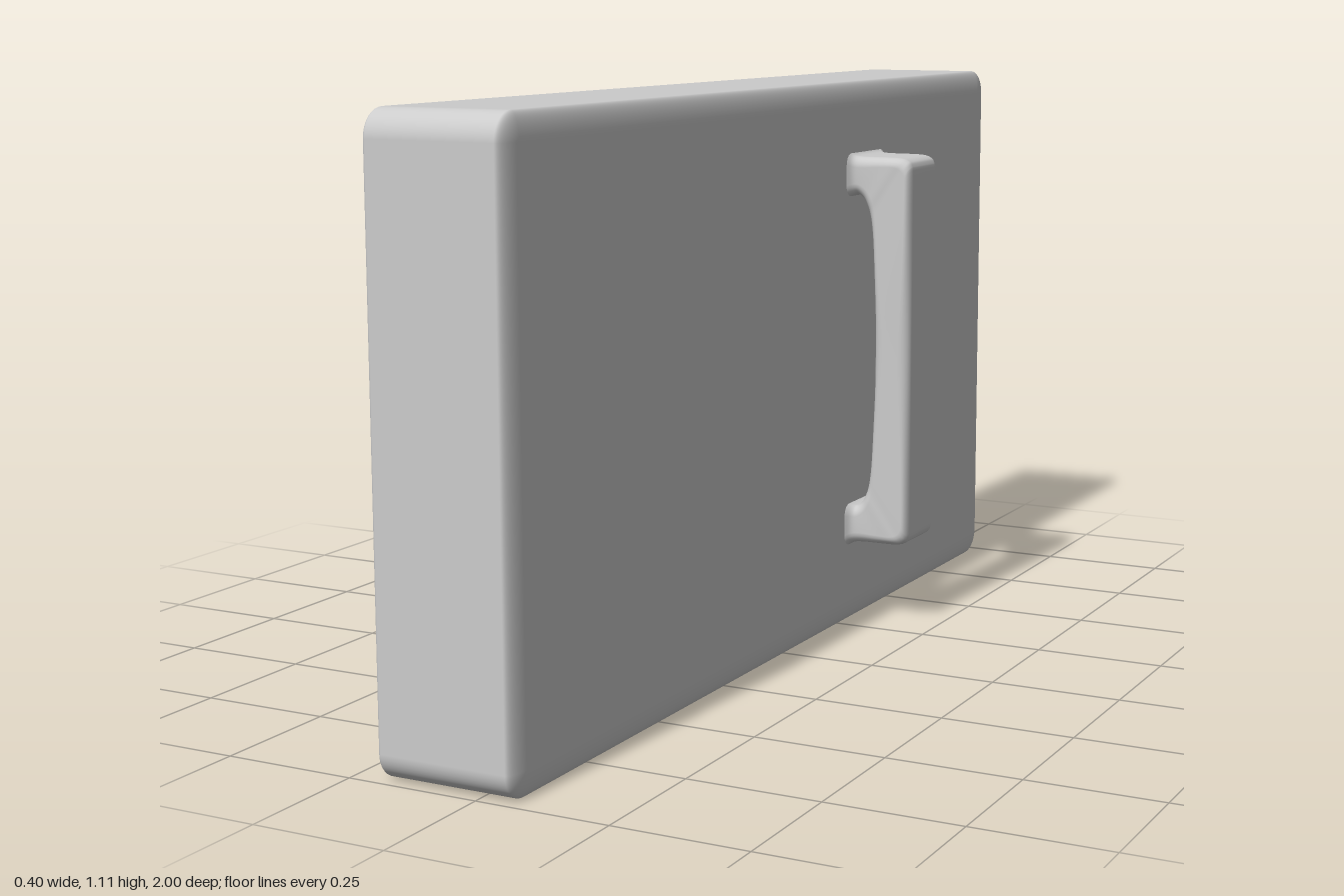
import * as THREE from 'three';
import { RoundedBoxGeometry } from 'three/addons/geometries/RoundedBoxGeometry.js';

const MID_Y = 0.565; // mirror plane of the handle
const HANDLE_Z = -0.348;

// Lower half of the handle, foot to middle:
// outer edge x, y, inner edge x, y, half width
const STATIONS = [
  [0.060, 0.150, 0.060, 0.258, 0.110],
  [0.070, 0.161, 0.070, 0.250, 0.096],
  [0.080, 0.167, 0.080, 0.246, 0.083],
  [0.100, 0.169, 0.088, 0.246, 0.078],
  [0.140, 0.169, 0.098, 0.256, 0.076],
  [0.175, 0.170, 0.106, 0.272, 0.076],
  [0.191, 0.175, 0.111, 0.290, 0.075],
  [0.198, 0.184, 0.115, 0.315, 0.075],
  [0.200, 0.205, 0.118, 0.350, 0.075],
  [0.200, 0.300, 0.121, 0.420, 0.075],
  [0.200, 0.420, 0.123, 0.490, 0.075],
  [0.200, MID_Y, 0.123, MID_Y, 0.075],
];

// Rounded rectangle centred on the origin, as a loop of [u, v]
function roundedLoop(halfU, halfV, r, steps = 5) {
  const loop = [];
  [[1, 1], [-1, 1], [-1, -1], [1, -1]].forEach(([su, sv], q) => {
    for (let k = 0; k <= steps; k++) {
      const a = (q + k / steps) * Math.PI / 2;
      loop.push([su * (halfU - r) + r * Math.cos(a), sv * (halfV - r) + r * Math.sin(a)]);
    }
  });
  return loop;
}

// Loft rounded sections between the outer and inner edge curves
function handleGeometry() {
  const upper = STATIONS.slice(0, -1).reverse()
    .map(([ox, oy, ix, iy, w]) => [ox, 2 * MID_Y - oy, ix, 2 * MID_Y - iy, w]);
  const all = [...STATIONS, ...upper];
  const curve = (pick) => new THREE.CatmullRomCurve3(all.map(pick), false, 'catmullrom', 0.5);
  const outer = curve((s) => new THREE.Vector3(s[0], s[1], s[4])); // z carries the half width
  const inner = curve((s) => new THREE.Vector3(s[2], s[3], 0));

  const rows = (all.length - 1) * 4;
  const positions = [], indices = [];
  let n = 0;
  for (let i = 0; i <= rows; i++) {
    const o = outer.getPoint(i / rows), p = inner.getPoint(i / rows);
    const half = Math.hypot(o.x - p.x, o.y - p.y) / 2;
    const loop = roundedLoop(half, o.z, 0.022);
    n = loop.length;
    for (const [u, v] of loop) {
      const t = (u / half + 1) / 2;
      positions.push(p.x + (o.x - p.x) * t, p.y + (o.y - p.y) * t, HANDLE_Z + v);
    }
  }
  for (let i = 0; i < rows; i++) {
    for (let j = 0; j < n; j++) {
      const k = (j + 1) % n;
      const a = i * n + j, b = i * n + k, c = a + n, d = b + n;
      indices.push(a, c, b, b, c, d);
    }
  }
  const geometry = new THREE.BufferGeometry();
  geometry.setAttribute('position', new THREE.Float32BufferAttribute(positions, 3));
  geometry.setIndex(indices);
  geometry.computeVertexNormals();
  return geometry;
}

export function createModel() {
  const material = new THREE.MeshStandardMaterial({ color: 0xcccccc });
  const group = new THREE.Group();
  group.name = 'panelWithHandle';

  // Slab: corners rounder in the face plane than across the thickness
  const squash = 0.3;
  const slab = new RoundedBoxGeometry(0.272 / squash, 1.11, 2, 6, 0.05);
  slab.scale(squash, 1, 1);
  const panel = new THREE.Mesh(slab, material);
  panel.name = 'panel';
  panel.position.set(-0.064, 0.555, 0);
  group.add(panel);

  // Pull handle with flared feet
  const handle = new THREE.Mesh(handleGeometry(), material);
  handle.name = 'handle';
  group.add(handle);

  return group;
}
